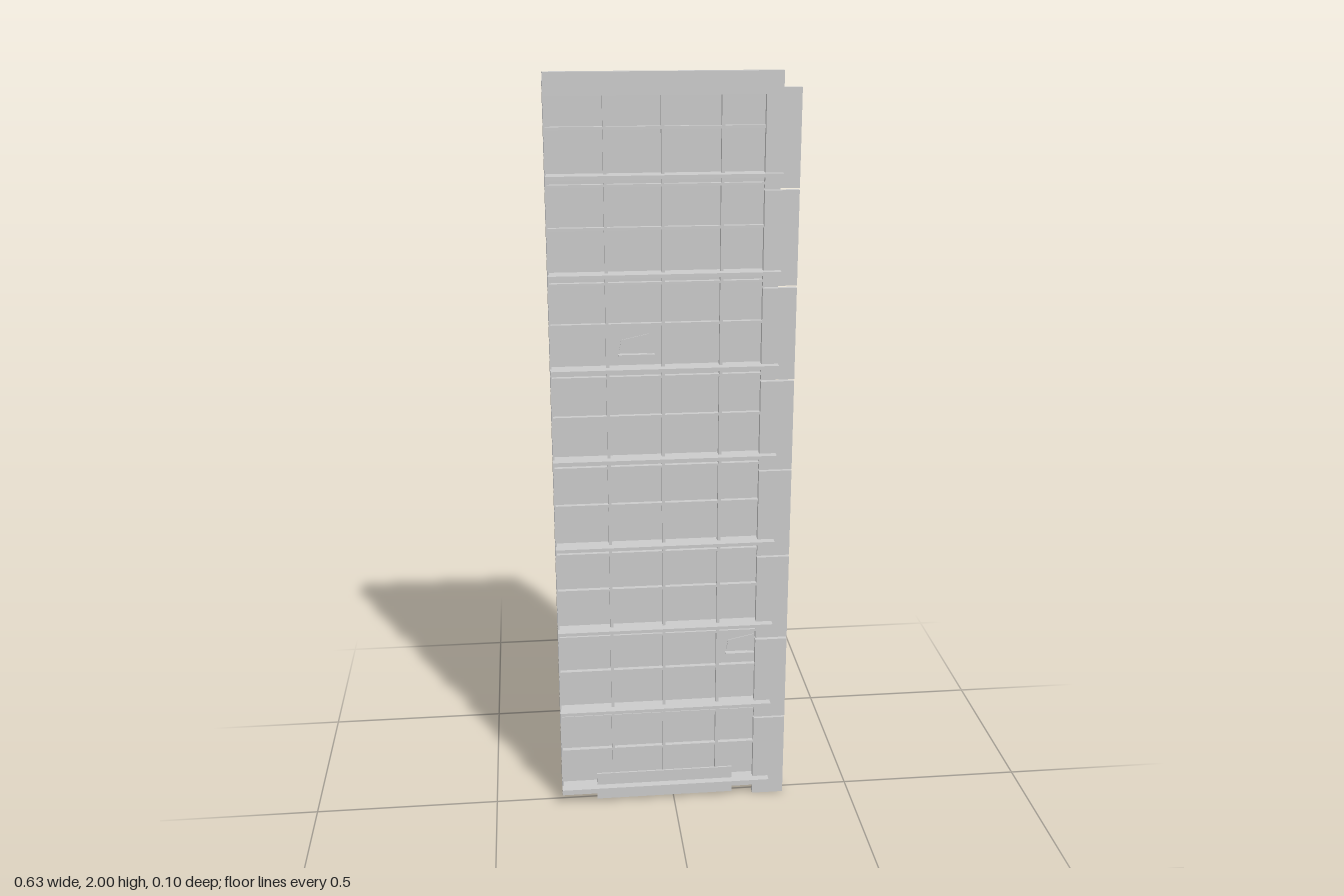
import * as THREE from 'three';

const material = new THREE.MeshStandardMaterial({ color: 0xcccccc, flatShading: true });

// Adds a box given by its minimum and maximum on each axis
function addBox(parent, name, x0, x1, y0, y1, z0, z1) {
  const mesh = new THREE.Mesh(new THREE.BoxGeometry(x1 - x0, y1 - y0, z1 - z0), material);
  mesh.position.set((x0 + x1) / 2, (y0 + y1) / 2, (z0 + z1) / 2);
  mesh.name = name;
  parent.add(mesh);
}

// Small tilted window flap with its sill
function addFlap(parent, x, y) {
  const flap = new THREE.Group();
  flap.name = 'windowFlap';
  const shape = new THREE.Shape([
    [0.0, 0.012], [0.085, 0.0], [0.075, 0.053], [0.005, 0.038],
  ].map(([px, py]) => new THREE.Vector2(px, py)));
  const pane = new THREE.Mesh(
    new THREE.ExtrudeGeometry(shape, { depth: 0.003, bevelEnabled: false }), material);
  pane.position.z = 0.005;
  pane.name = 'flapPane';
  flap.add(pane);
  addBox(flap, 'flapSill', -0.003, 0.09, -0.003, 0.001, 0.002, 0.017);
  flap.position.set(x, y, 0);
  parent.add(flap);
}

export function createModel() {
  const model = new THREE.Group();
  model.name = 'facadePanel';
  const left = -0.315, right = 0.225, pitch = 0.2432;

  // Wall slab behind the frame
  addBox(model, 'wallSlab', left, 0.268, 0.025, 1.975, -0.052, 0.002);

  // Open grid of thin bars standing off the wall
  const grid = new THREE.Group();
  grid.name = 'windowGrid';
  model.add(grid);
  addBox(grid, 'edgeMullion', left, left + 0.004, 0.03, 1.95, 0.014, 0.027);
  for (const x of [-0.169, -0.027, 0.121]) {
    addBox(grid, 'mullion', x - 0.004, x + 0.004, 0.05, 1.95, 0.014, 0.027);
  }
  for (let i = 0; i < 8; i++) {
    const y = 0.05 + i * pitch;
    addBox(grid, 'transom', left, right, y + 0.112, y + 0.119, 0.014, 0.027);
    addBox(grid, 'lowerRail', left, right, y - 0.025, y - 0.019, 0.014, 0.027);
    // Projecting ledge on each floor
    addBox(model, 'floorLedge', left, 0.268, y - 0.004, y + 0.005, 0.003, 0.051);
  }

  // Side column in separate segments
  for (let i = 0; i < 8; i++) {
    const gap = i % 4 === 0 || i % 4 === 3 ? 0.004 : 0.006;
    addBox(model, 'sideColumnSegment', right, 0.312,
      i === 0 ? 0 : i * 0.2455 + gap / 2 - 0.002,
      i === 7 ? 1.96 : (i + 1) * 0.2455 - gap / 2 - 0.002, 0.015, 0.03);
  }

  // Top fascia and the sign board at the foot
  addBox(model, 'topFascia', left, 0.267, 1.945, 2, 0.012, 0.032);
  addBox(model, 'footBoard', -0.217, 0.165, 0.01, 0.09, 0.025, 0.03);

  addFlap(model, -0.138, 1.3);
  addFlap(model, 0.148, 0.44);
  return model;
}
